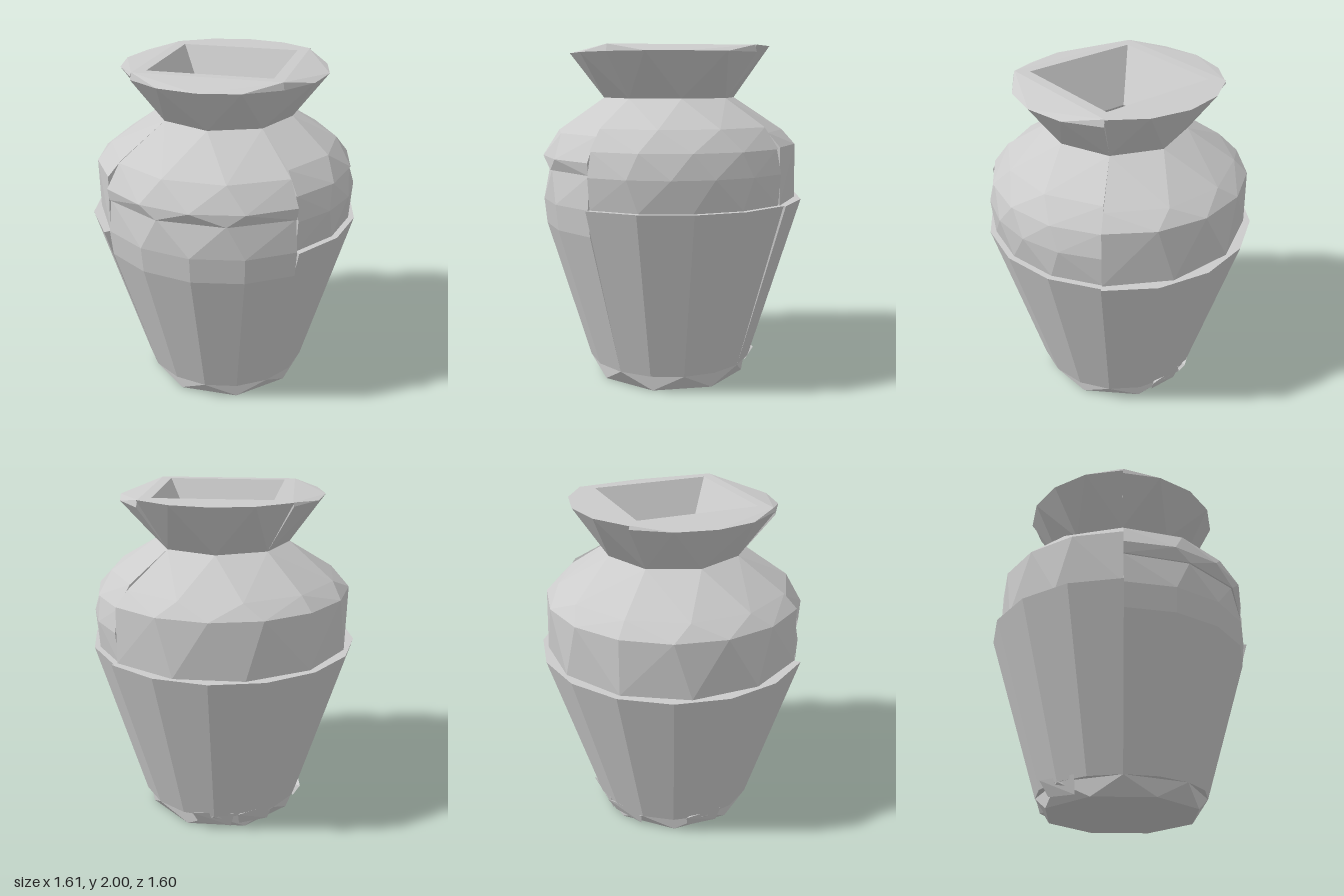
import * as THREE from 'three';
import { ConvexGeometry } from 'three/addons/geometries/ConvexGeometry.js';

const CENTER_Z = 0.02;
const material = new THREE.MeshStandardMaterial({ color: 0xcccccc, flatShading: true });

// Point at an angle in degrees: 0 is +x, 90 is the front
function polar(deg, r, y) {
  const a = THREE.MathUtils.degToRad(deg);
  return new THREE.Vector3(r * Math.cos(a), y, r * Math.sin(a) + CENTER_Z);
}

// Convex quarter of a ring. outer: [y, radius, segments], inner: [y, radius]
// The inner wall is the straight chord between the quarter's two ends.
function quarter(name, q, outer, inner) {
  const points = [];
  for (const [y, r, n] of outer) {
    for (let i = 0; i <= n; i++) points.push(polar(q * 90 + (i / n) * 90, r, y));
  }
  for (const [y, r] of inner) {
    points.push(polar(q * 90, r, y), polar(q * 90 + 90, r, y));
  }
  return solid(name, points);
}

function solid(name, points) {
  const mesh = new THREE.Mesh(new ConvexGeometry(points), material);
  mesh.name = name;
  return mesh;
}

export function createModel() {
  const vase = new THREE.Group();
  vase.name = 'vase';

  // Flared lip, sloping slightly outward at the front
  const lipEdge = [1.96, 1.96, 1.98, 2];
  for (let q = 0; q < 4; q++) {
    vase.add(quarter('lip', q,
      [[1.7, 0.4, 2], [lipEdge[q], 0.6, 4]],
      [[1.7, 0.28], [2, 0.5], [2, 0.59]]));
  }

  // Shoulder: the front left has a separate band below it
  vase.add(quarter('shoulder', 0,
    [[1.7, 0.4, 2], [1.54, 0.66, 3], [1.42, 0.75, 4]],
    [[1.7, 0.28], [1.42, 0.5]]));
  vase.add(quarter('shoulderBand', 0,
    [[1.42, 0.74, 4], [1.28, 0.77, 5], [1.1, 0.755, 4]],
    [[1.42, 0.64], [1.1, 0.7]]));
  vase.add(quarter('shoulder', 1,
    [[1.7, 0.4, 2], [1.5, 0.69, 3], [1.36, 0.77, 4], [1.29, 0.76, 3]],
    [[1.7, 0.28], [1.29, 0.6]]));
  for (const q of [2, 3]) {
    vase.add(quarter('shoulder', q,
      [[1.7, 0.4, 2], [1.51, 0.68, 3], [1.43, 0.76, 4], [1.1, 0.765, 3]],
      [[1.7, 0.28], [1.1, 0.68]]));
  }

  // Tapering body, a little wider at the back
  vase.add(quarter('body', 0,
    [[1.1, 0.79, 4], [0.1, 0.5, 4]],
    [[1.1, 0.7], [0.1, 0.29]]));
  vase.add(quarter('body', 1,
    [[1.29, 0.75, 3], [1.1, 0.77, 4], [0.95, 0.755, 4], [0.1, 0.5, 4]],
    [[1.29, 0.68], [0.1, 0.29]]));
  for (const q of [2, 3]) {
    vase.add(quarter('body', q,
      [[1.1, 0.805, 4], [0.1, 0.5, 4]],
      [[1.1, 0.7], [0.1, 0.29]]));
  }

  // Closed foot, twisted between its two outlines
  const foot = [];
  for (let i = 0; i < 8; i++) {
    foot.push(polar(i * 45 + 22, 0.46, 0), polar(i * 45, 0.5, 0.1));
  }
  vase.add(solid('foot', foot));

  // Uneven chips on the back of the foot
  for (const deg of [225, 285, 315]) {
    vase.add(solid('footChip', [
      polar(deg - 12, 0.47, 0.02), polar(deg + 12, 0.48, 0.04),
      polar(deg - 14, 0.5, 0.12), polar(deg + 14, 0.53, 0.13), polar(deg, 0.4, 0.08),
    ]));
  }

  return vase;
}
